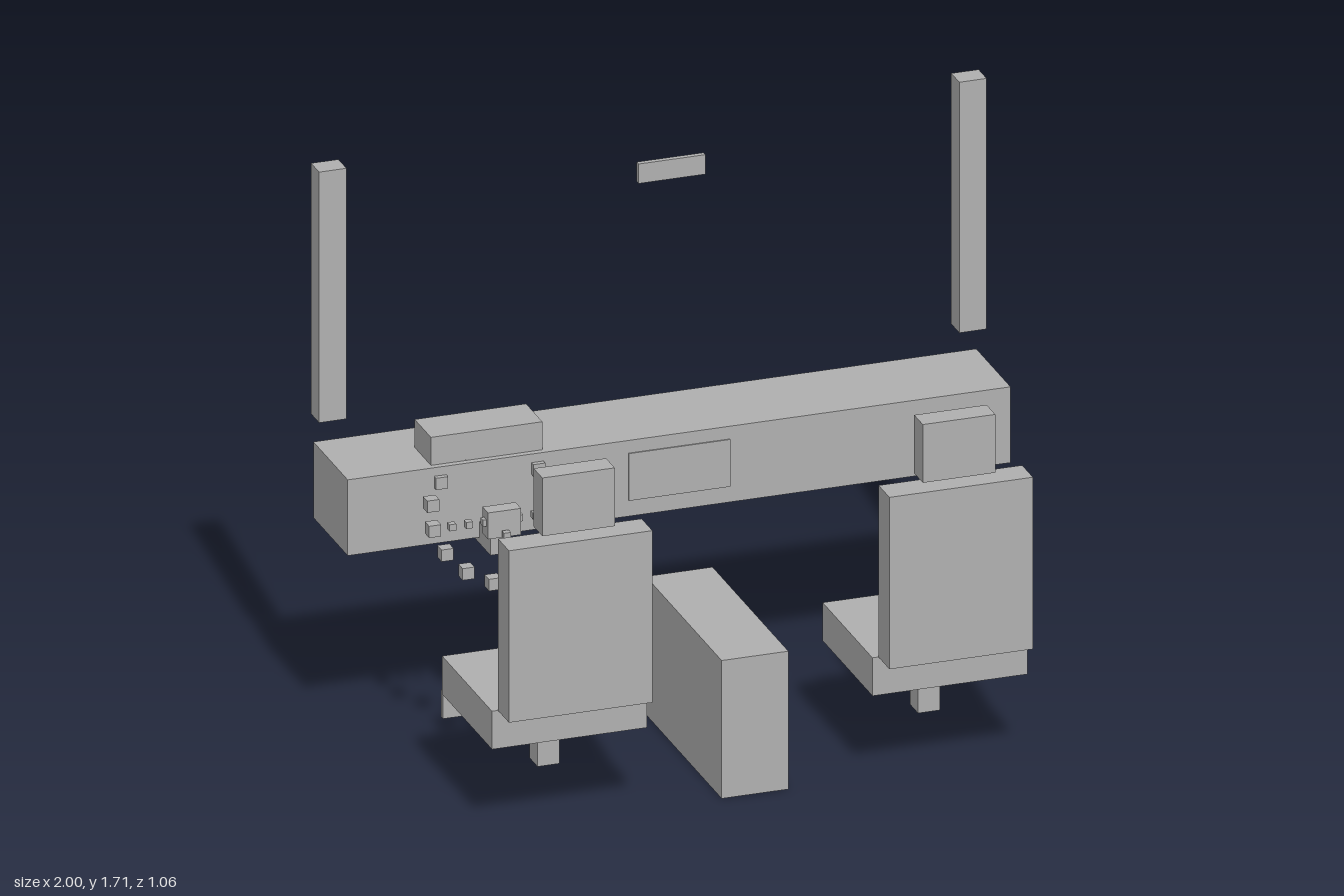
import * as THREE from 'three';

export function createModel() {
  const model = new THREE.Group();
  model.name = 'carInterior';
  const grey = new THREE.MeshStandardMaterial({ color: 0xb0b0b0 });
  grey.name = 'plainGrey';

  // Box from its centre x, width, and y / z ranges
  function block(parent, name, x, width, [y0, y1], [z0, z1]) {
    const mesh = new THREE.Mesh(new THREE.BoxGeometry(width, y1 - y0, z1 - z0), grey);
    mesh.position.set(x, (y0 + y1) / 2, (z0 + z1) / 2);
    mesh.name = name;
    parent.add(mesh);
  }
  function group(name) {
    const g = new THREE.Group();
    g.name = name;
    model.add(g);
    return g;
  }

  const seatX = 0.57;
  const driverX = -seatX;

  // Dashboard, instrument hood, screen
  block(model, 'dashboard', 0, 1.986, [0.616, 0.849], [-0.53, -0.241]);
  block(model, 'instrumentHood', driverX, 0.334, [0.849, 0.935], [-0.397, -0.26]);
  block(model, 'centreScreen', 0, 0.304, [0.665, 0.81], [-0.246, -0.237]);

  // Centre console and rear-view mirror
  block(model, 'centreConsole', 0, 0.2, [0, 0.424], [-0.241, 0.398]);
  block(model, 'rearViewMirror', 0, 0.2, [1.606, 1.666], [-0.318, -0.302]);

  // Windscreen pillars and seats, mirrored
  for (const side of [-1, 1]) {
    const label = side < 0 ? 'right' : 'left';
    block(model, label + 'Pillar', side * 0.959, 0.082, [0.936, 1.706], [-0.53, -0.462]);

    const seat = group(label + 'Seat');
    const x = side * seatX;
    block(seat, 'seatCushion', x, 0.464, [0.268, 0.385], [0.017, 0.437]);
    block(seat, 'backrest', x, 0.43, [0.386, 0.914], [0.441, 0.532]);
    block(seat, 'headrest', x, 0.217, [0.936, 1.115], [0.441, 0.514]);
    block(seat, 'seatPost', x, 0.066, [0.115, 0.268], [0.195, 0.261]);
  }

  // Pedals
  for (const dx of [-0.083, 0.073]) {
    block(model, 'pedal', driverX + dx, 0.065, [0.046, 0.13], [-0.318, -0.302]);
  }

  // Steering column and hub
  const steering = group('steering');
  block(steering, 'steeringColumn', driverX, 0.056, [0.597, 0.664], [-0.472, -0.15]);
  block(steering, 'steeringHub', driverX, 0.099, [0.666, 0.747], [-0.156, -0.109]);

  // Wheel rim and spokes: upright cubes placed on a tilted circle
  const tilt = THREE.MathUtils.degToRad(40);
  function wheelCube(name, radius, angle, size) {
    const u = radius * Math.cos(angle), v = radius * Math.sin(angle);
    const y = 0.711 + v * Math.sin(tilt), z = -0.132 - v * Math.cos(tilt);
    const h = size / 2;
    block(steering, name, driverX + u, size, [y - h, y + h], [z - h, z + h]);
  }
  for (let i = 0; i < 16; i++) wheelCube('wheelRimBlock', 0.206, (i * Math.PI) / 8, 0.036);
  for (const angle of [0, Math.PI, -Math.PI / 2]) {
    for (const r of [0.05, 0.1, 0.15]) wheelCube('wheelSpokeBlock', r, angle, 0.02);
  }

  return model;
}
